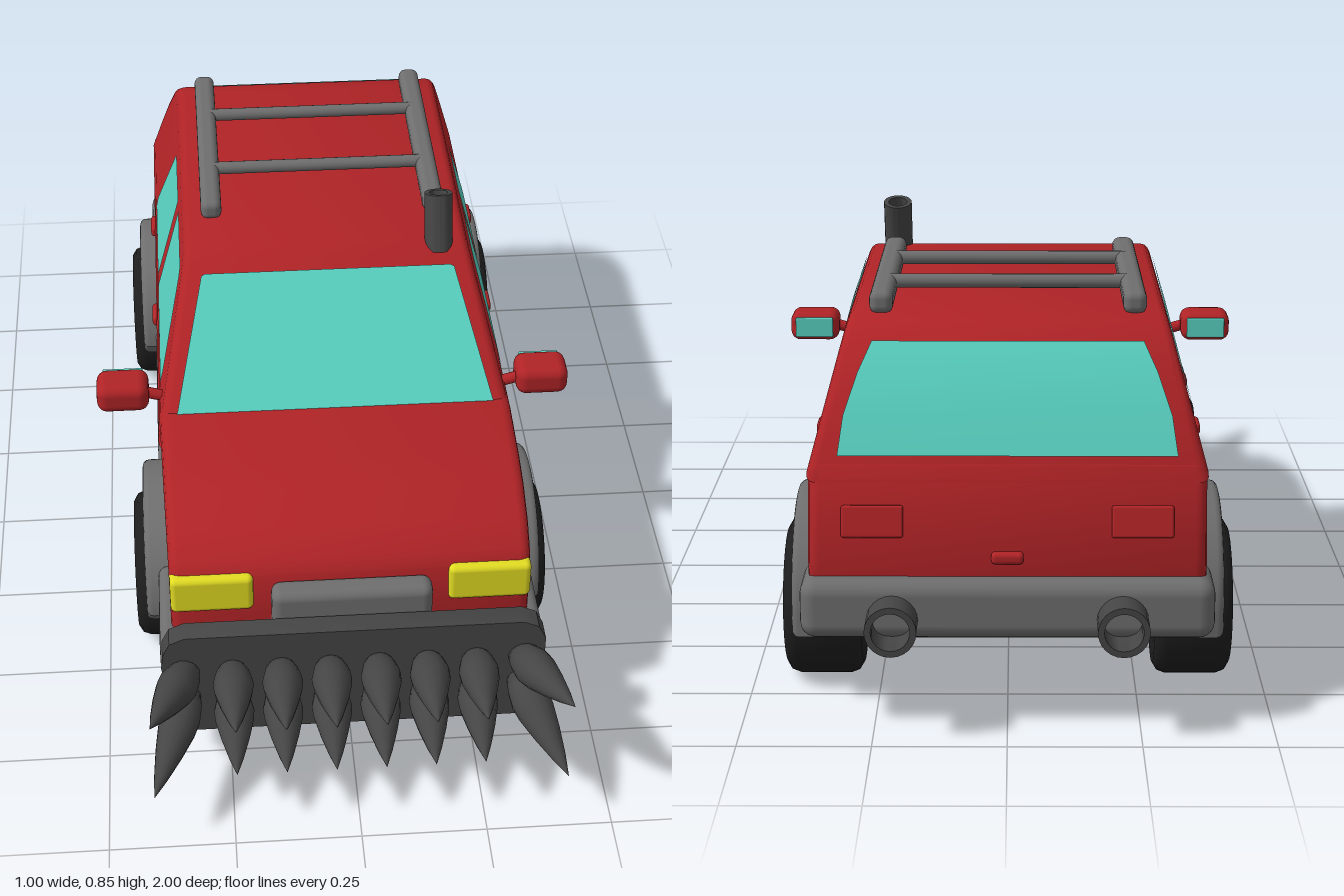
import * as THREE from 'three';
import { toCreasedNormals } from 'three/addons/utils/BufferGeometryUtils.js';
import { RoundedBoxGeometry } from 'three/addons/geometries/RoundedBoxGeometry.js';

const mat = (name, color, extra = {}) => {
  const m = new THREE.MeshStandardMaterial({ color, ...extra });
  m.name = name;
  return m;
};

export function createModel() {
  const red = mat('body red', 0xb02326);
  const teal = mat('glass teal', 0x58d0c0, { side: THREE.DoubleSide });
  const yellow = mat('headlight yellow', 0xe2dc22);
  const gray = mat('trim gray', 0x6e6e6e);
  const dark = mat('dark metal', 0x454545);
  const black = mat('tyre black', 0x1e1e1e);

  const car = new THREE.Group();
  car.name = 'armouredCar';

  const add = (name, geo, material, x = 0, y = 0, z = 0) => {
    const m = new THREE.Mesh(geo, material);
    m.name = name;
    m.position.set(x, y, z);
    car.add(m);
    return m;
  };
  const box = (name, material, w, h, d, x, y, z, r = 0.01) =>
    add(name, new RoundedBoxGeometry(w, h, d, 3, r), material, x, y, z);
  // cylinder between two points
  const rod = (name, material, r, a, b) => {
    const p = new THREE.Vector3(...a), q = new THREE.Vector3(...b), d = q.clone().sub(p);
    const m = add(name, new THREE.CylinderGeometry(r, r, d.length(), 14), material);
    m.position.copy(p).add(q).multiplyScalar(0.5);
    m.quaternion.setFromUnitVectors(new THREE.Vector3(0, 1, 0), d.normalize());
    return m;
  };
  const toShape = pts => new THREE.Shape(pts.map(p => new THREE.Vector2(...p)));
  // side profile (z, y) extruded across the car, with rounded edges and a width rule
  const across = (shape, half, bevel, rule) => {
    let g = new THREE.ExtrudeGeometry(shape, {
      depth: 2 * (half - bevel), bevelEnabled: true, bevelSize: bevel, bevelThickness: bevel,
      bevelOffset: -bevel, bevelSegments: 3, curveSegments: 24,
    });
    g.translate(0, 0, -(half - bevel)).rotateY(-Math.PI / 2);
    if (rule) {
      const p = g.attributes.position;
      for (let i = 0; i < p.count; i++) p.setX(i, p.getX(i) * rule(p.getY(i), p.getZ(i)));
    }
    g = toCreasedNormals(g, 0.6);
    return g;
  };

  // Bodywork: lower shell and tapering cabin
  const cabinHalf = y => 0.368 - (y - 0.5) * 0.27;
  add('lowerBody', across(toShape([
    [-0.88, 0.2], [-0.905, 0.32], [-0.865, 0.5], [-0.85, 0.515], [0.29, 0.522], [0.45, 0.522], [0.53, 0.515],
    [0.62, 0.49], [0.675, 0.455], [0.693, 0.43], [0.7, 0.34], [0.7, 0.2],
  ]), 0.37, 0.022, (y, z) => 1 - 0.07 * Math.max(0, z - 0.3)), red);
  add('cabin', across(toShape([
    [-0.872, 0.47], [-0.862, 0.505], [-0.825, 0.585], [-0.785, 0.655], [-0.74, 0.71], [-0.7, 0.735], [-0.65, 0.747],
    [0, 0.747], [0.03, 0.735], [0.29, 0.515], [0.34, 0.47],
  ]), 0.368, 0.018, y => cabinHalf(y) / 0.368), red);
  box('chassis', dark, 0.72, 0.04, 1.4, 0, 0.205, -0.12);

  // Windscreen and rear window: strips through rows of (z, y, half width)
  const strip = rows => {
    const pos = rows.flatMap(([z, y, w]) => [-w, y, z, w, y, z]);
    const idx = rows.slice(1).flatMap((_, i) => [2 * i, 2 * i + 1, 2 * i + 3, 2 * i, 2 * i + 3, 2 * i + 2]);
    const g = new THREE.BufferGeometry();
    g.setAttribute('position', new THREE.Float32BufferAttribute(pos, 3));
    g.setIndex(idx);
    g.computeVertexNormals();
    return g;
  };
  add('windscreen', strip([[0.288, 0.524, 0.333], [0.282, 0.529, 0.331], [0.062, 0.715, 0.27], [0.058, 0.718, 0.262]]), teal);
  add('rearWindow', strip([
    [-0.262 - 0.6, 0.518, 0.315], [-0.83, 0.587, 0.305], [-0.79, 0.658, 0.28], [-0.748, 0.709, 0.255],
  ].reverse()), teal);

  // Side windows lie on the sloping cabin sides
  const sideWindows = {
    frontSideWindow: [[0.17, 0.52], [0.165, 0.545], [0.045, 0.7], [0.025, 0.715], [-0.19, 0.718], [-0.19, 0.52]],
    rearSideWindow: [[-0.23, 0.52], [-0.23, 0.718], [-0.42, 0.718], [-0.435, 0.705], [-0.53, 0.535], [-0.52, 0.52]],
  };
  for (const s of [1, -1]) {
    for (const [name, pts] of Object.entries(sideWindows)) {
      const g = new THREE.ShapeGeometry(toShape(pts));
      const p = g.attributes.position;
      for (let i = 0; i < p.count; i++) {
        const z = p.getX(i), y = p.getY(i);
        p.setXYZ(i, s * (cabinHalf(y) + 0.004), y, z);
      }
      // face the triangles outwards
      if (s > 0) g.setIndex([...g.index.array].reverse());
      g.computeVertexNormals();
      add(name, g, teal);
    }
    for (const z of [-0.14, -0.5]) box('doorHandle', red, 0.02, 0.025, 0.06, s * 0.372, 0.475, z, 0.008);

    // Mirrors
    rod('mirrorStalk', red, 0.012, [s * 0.35, 0.505, 0.2], [s * 0.42, 0.525, 0.2]);
    box('mirrorShell', red, 0.11, 0.066, 0.085, s * 0.446, 0.522, 0.195, 0.022);
    box('mirrorGlass', teal, 0.085, 0.045, 0.008, s * 0.446, 0.522, 0.151, 0.003);

    // Lights, sill and exhausts
    box('headlight', yellow, 0.165, 0.085, 0.055, s * 0.277, 0.393, 0.68, 0.012);
    box('tailLight', red, 0.115, 0.06, 0.016, s * 0.25, 0.4, -0.888, 0.005).rotation.x = 0.22;
    box('sill', gray, 0.05, 0.035, 0.7, s * 0.358, 0.21, -0.14, 0.012);
    const pipe = new THREE.LatheGeometry([[0.048, 0], [0.048, 0.14], [0.036, 0.14], [0.036, 0.05], [0, 0.05]]
      .map(p => new THREE.Vector2(...p)), 24);
    add('exhaustPipe', toCreasedNormals(pipe, 0.6), dark, s * 0.213, 0.224, -0.86).rotation.x = -Math.PI / 2;

    // Roof rails
    box('roofRail', gray, 0.045, 0.045, 0.56, s * 0.242, 0.763, -0.39, 0.016);
  }
  for (const z of [-0.275, -0.505]) rod('roofCrossbar', gray, 0.014, [-0.24, 0.772, z], [0.24, 0.772, z]);
  box('tailgateHandle', red, 0.06, 0.022, 0.025, 0, 0.335, -0.903, 0.008);

  // Roof stack, leaning back
  const stack = new THREE.LatheGeometry([[0.03, 0], [0.03, 0.125], [0.02, 0.125], [0.02, 0.06], [0, 0.06]]
    .map(p => new THREE.Vector2(...p)), 20);
  add('roofStack', toCreasedNormals(stack, 0.6), dark, 0.242, 0.725, 0.008).rotation.x = -0.3;

  // Wheels and arches
  const tyre = toCreasedNormals(new THREE.LatheGeometry([
    [0, -0.07], [0.1, -0.075], [0.135, -0.075], [0.15, -0.066], [0.156, -0.05],
    [0.156, 0.05], [0.15, 0.066], [0.135, 0.075], [0.09, 0.075], [0.084, 0.06], [0, 0.06],
  ].map(p => new THREE.Vector2(...p)), 36), 0.7);
  const hub = toCreasedNormals(new THREE.CylinderGeometry(0.076, 0.08, 0.02, 32), 0.7);
  for (const z of [0.335, -0.608]) {
    for (const s of [1, -1]) {
      add('tyre', tyre, black, s * 0.36, 0.157, z).rotation.z = -s * Math.PI / 2;
      add('wheelHub', hub, gray, s * 0.424, 0.157, z).rotation.z = -s * Math.PI / 2;
    }
    const arch = new THREE.Shape();
    arch.moveTo(0.2, -0.045);
    arch.absarc(0, 0, 0.2, 0, Math.PI, false);
    arch.lineTo(-0.2, -0.045);
    arch.lineTo(-0.162, -0.045);
    arch.absarc(0, 0, 0.162, Math.PI, 0, true);
    arch.lineTo(0.162, -0.045);
    add('wheelArch', across(arch, 0.413, 0.014), gray, 0, 0.186, z);
  }

  // Bumpers and grille
  box('rearBumper', gray, 0.77, 0.115, 0.15, 0, 0.24, -0.862, 0.03);
  box('frontBumper', gray, 0.77, 0.1, 0.25, 0, 0.25, 0.622, 0.02);
  box('grille', gray, 0.32, 0.14, 0.055, 0, 0.35, 0.718, 0.02);

  // Spiked ram
  box('ramBox', dark, 0.75, 0.115, 0.26, 0, 0.17, 0.64, 0.008);
  const plate = new THREE.ExtrudeGeometry(toShape([
    [-0.335, 0.112], [0.335, 0.112], [0.365, 0.125], [0.38, 0.155], [0.38, 0.32], [0.365, 0.352], [0.335, 0.366],
    [-0.335, 0.366], [-0.365, 0.352], [-0.38, 0.32], [-0.38, 0.155], [-0.365, 0.125],
  ]), { depth: 0.045, bevelEnabled: false });
  add('ramPlate', toCreasedNormals(plate, 0.6), dark, 0, 0, 0.75);

  const spikeGeo = new THREE.LatheGeometry([
    [0, 0], [0.024, 0], [0.034, 0.025], [0.04, 0.055], [0.038, 0.08], [0.028, 0.125], [0.014, 0.175], [0, 0.215],
  ].map(p => new THREE.Vector2(...p)), 16);
  const spike = (from, to) => {
    const a = new THREE.Vector3(...from), d = new THREE.Vector3(...to).sub(a);
    const m = add('ramSpike', spikeGeo, dark, ...from);
    m.scale.y = d.length() / 0.215;
    m.quaternion.setFromUnitVectors(new THREE.Vector3(0, 1, 0), d.normalize());
  };
  for (const [base, tip, outerTip] of [[0.272, 0.297, 0.335], [0.212, 0.18, 0.143]]) {
    for (let i = 0; i < 6; i++) {
      const x = (i - 2.5) * 0.097;
      spike([x, base, 0.785], [x, tip, 0.985]);
    }
    for (const s of [1, -1]) spike([s * 0.33, base, 0.785], [s * 0.405, outerTip, 1]);
  }
  return car;
}
